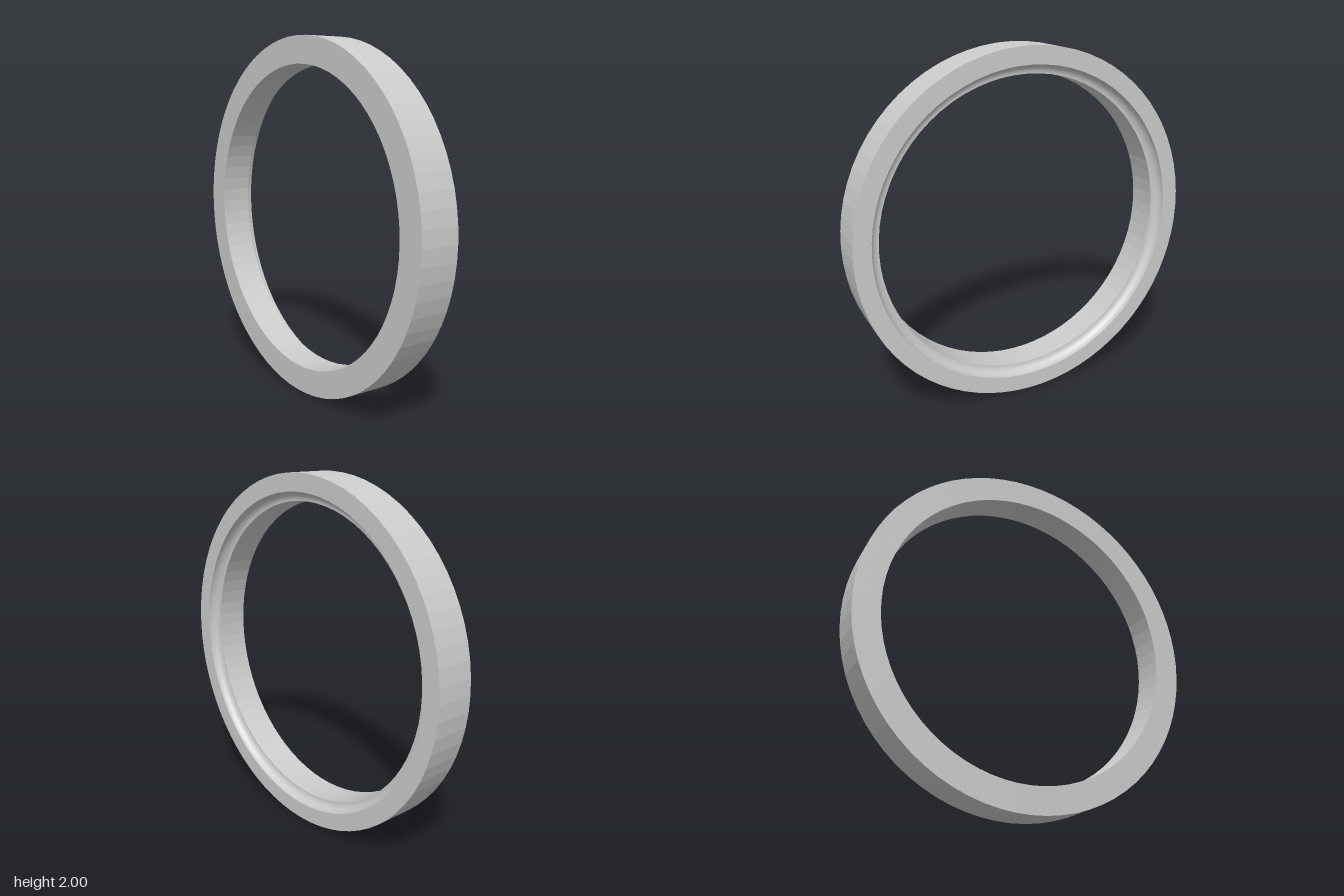
import * as THREE from 'three';

const SEGMENTS = 72;
const OUTER = 1, INNER = 0.85, HALF = 0.115, GROOVE = 0.052;

// Revolve a profile of [radius, z] pairs about the z axis
function revolve(name, profile, flatShading) {
  const points = profile.map(([r, z]) => new THREE.Vector2(r, z));
  const geometry = new THREE.LatheGeometry(points, SEGMENTS).rotateX(Math.PI / 2);
  const material = new THREE.MeshStandardMaterial({ color: 0xcccccc, flatShading });
  const mesh = new THREE.Mesh(geometry, material);
  mesh.name = name;
  return mesh;
}

export function createModel() {
  const ring = new THREE.Group();
  ring.name = 'ring';

  // Faceted walls: back rim, outer wall, front face, bore
  ring.add(revolve('ringBody', [
    [INNER + GROOVE, -HALF],
    [OUTER, -HALF],
    [OUTER, HALF],
    [INNER, HALF],
    [INNER, -HALF + GROOVE],
  ], true));

  // Smooth concave quarter-round groove at the back of the bore
  const arc = [];
  const steps = 10;
  for (let i = 0; i <= steps; i++) {
    const a = (i / steps) * Math.PI / 2;
    arc.push([INNER + GROOVE * Math.sin(a), -HALF + GROOVE * Math.cos(a)]);
  }
  ring.add(revolve('backGroove', arc, false));

  ring.position.y = OUTER;
  const model = new THREE.Group();
  model.name = 'bearingRing';
  model.add(ring);
  return model;
}
